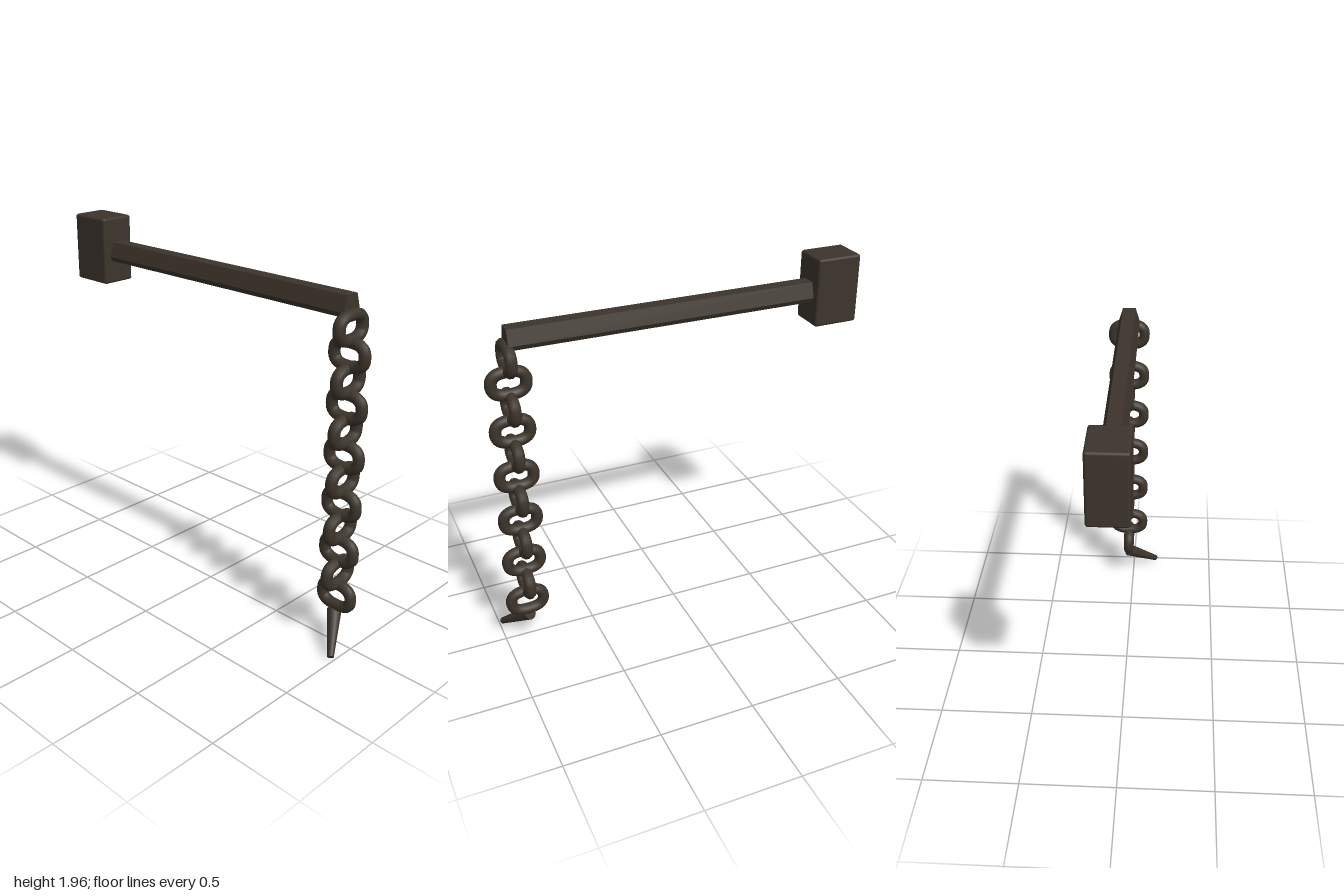
import * as THREE from 'three';
import { RoundedBoxGeometry } from 'three/addons/geometries/RoundedBoxGeometry.js';

const CX = 0.03;       // centre line of bracket and chain
const CHAIN_Z = 0.87;  // where the chain hangs

// Rounded oval ring in the xy plane; a gap (in degrees) leaves it open
function linkGeometry(gapStart = 0, gapEnd = 0) {
  const open = gapEnd > gapStart;
  const sweep = 360 - (gapEnd - gapStart);
  const n = 24;
  const soft = (v) => Math.sign(v) * Math.pow(Math.abs(v), 2 / 2.6);
  const points = [];
  for (let i = 0; i < (open ? n + 1 : n); i++) {
    const t = THREE.MathUtils.degToRad(gapEnd + (sweep * i) / n);
    points.push(new THREE.Vector3(0.088 * soft(Math.cos(t)), 0.06 * soft(Math.sin(t)), 0));
  }
  const path = new THREE.CatmullRomCurve3(points, !open);
  return new THREE.TubeGeometry(path, 40, 0.03, 10, !open);
}

export function createModel() {
  const model = new THREE.Group();
  const iron = new THREE.MeshStandardMaterial({ color: 0x3d352c });
  iron.name = 'darkIron';
  iron.side = THREE.DoubleSide;

  const add = (name, geometry, x, y, z, parent = model) => {
    const mesh = new THREE.Mesh(geometry, iron);
    mesh.name = name;
    mesh.position.set(x, y, z);
    parent.add(mesh);
    return mesh;
  };

  // Wall block at the back
  add('wallBlock', new RoundedBoxGeometry(0.195, 0.365, 0.245, 3, 0.014), CX - 0.002, 1.777, -0.877);

  // Tapered six-sided beam reaching forward
  const profile = new THREE.Shape([
    [-0.036, 0.105], [-0.06, 0.026], [-0.045, 0], [0.045, 0], [0.06, 0.026], [0.036, 0.105],
  ].map(([x, y]) => new THREE.Vector2(x, y)));
  add('beam', new THREE.ExtrudeGeometry(profile, { depth: 1.64, bevelEnabled: false }), CX, 1.72, -0.77);

  // Chain of links, alternately turned by a quarter
  const chain = new THREE.Group();
  chain.name = 'chain';
  model.add(chain);
  const closed = linkGeometry();
  const split = linkGeometry(67, 85);
  for (let i = 0; i < 12; i++) {
    const isSplit = i === 3 || i === 11;
    const link = add(isSplit ? 'splitLink' : 'link', isSplit ? split : closed,
      CX, 1.668 - i * 0.1285, CHAIN_Z, chain);
    if (i % 2) link.rotation.y = Math.PI / 2;
  }

  // Blunt spike hanging off the last link
  const top = new THREE.Vector3(0.03, 0.16, 0.862);
  const tip = new THREE.Vector3(-0.143, 0.016, 0.982);
  const dir = tip.clone().sub(top);
  const mid = top.clone().add(tip).multiplyScalar(0.5);
  const spike = add('spike', new THREE.CylinderGeometry(0.017, 0.038, dir.length(), 10), mid.x, mid.y, mid.z);
  spike.quaternion.setFromUnitVectors(new THREE.Vector3(0, 1, 0), dir.normalize());

  return model;
}
